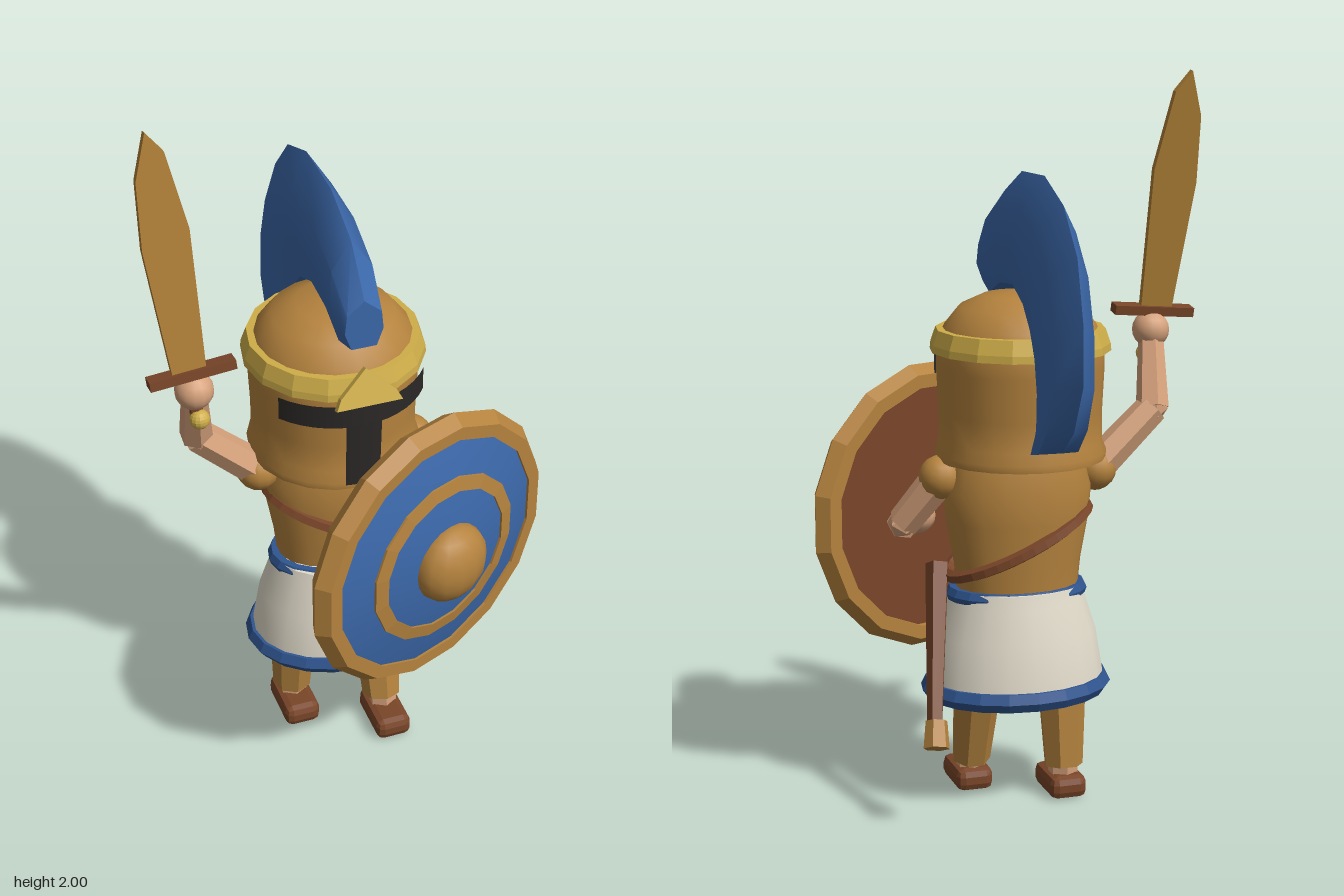
import * as THREE from 'three';
import { toCreasedNormals } from 'three/addons/utils/BufferGeometryUtils.js';
import { RoundedBoxGeometry } from 'three/addons/geometries/RoundedBoxGeometry.js';

const mat = (color, flatShading = false, side = THREE.FrontSide) =>
  new THREE.MeshStandardMaterial({ color, flatShading, side });
const bronze = mat(0xb5833e), bronzeFlat = mat(0xb5833e, true), gold = mat(0xcfae4a, true);
const blue = mat(0x3c69ab), blueFlat = mat(0x2f5590, true), cloth = mat(0xe2dccb);
const leather = mat(0x7a4629, true), skin = mat(0xd6a27c, true), skinSmooth = mat(0xd6a27c);
const dark = mat(0x2b2826, false, THREE.DoubleSide), steel = mat(0xb08038, true);
const V = (x, y, z) => new THREE.Vector3(x, y, z);

export function createModel() {
  const root = new THREE.Group();
  const add = (name, geo, material, pos = [0, 0, 0], parent = root) => {
    const m = new THREE.Mesh(geo, material);
    m.name = name;
    m.position.set(...pos);
    parent.add(m);
    return m;
  };
  const lathe = (pts, n, crease = 0.6) =>
    toCreasedNormals(new THREE.LatheGeometry(pts.map(p => new THREE.Vector2(...p)), n), crease);
  const ball = (name, r, material, pos, parent) =>
    add(name, new THREE.SphereGeometry(r, 14, 10), material, pos, parent);
  // Tapered prism running from a to b
  const limb = (name, a, b, ra, rb, material, sides = 6) => {
    const d = b.clone().sub(a);
    const m = add(name, new THREE.CylinderGeometry(rb, ra, d.length(), sides), material,
      a.clone().add(b).multiplyScalar(0.5).toArray());
    m.quaternion.setFromUnitVectors(V(0, 1, 0), d.normalize());
    return m;
  };

  // Legs: left one steps forward
  for (const [side, x, footZ, ankleZ, kneeZ] of [['left', 0.105, 0.145, 0.115, 0.06], ['right', -0.125, 0.003, -0.02, 0.0]]) {
    add(side + 'Shoe', new RoundedBoxGeometry(0.105, 0.065, 0.175, 1, 0.022), leather, [x, 0.0325, footZ]);
    limb(side + 'Ankle', V(x, 0.04, ankleZ + 0.005), V(x, 0.12, ankleZ), 0.042, 0.042, skin);
    limb(side + 'Greave', V(x, 0.085, ankleZ), V(x, 0.29, kneeZ), 0.055, 0.068, bronzeFlat, 7);
    limb(side + 'Thigh', V(x, 0.27, kneeZ), V(x, 0.42, 0.03), 0.055, 0.06, skin);
  }

  // Tunic skirt with blue hem and belt, oval in plan
  const oval = (name, geo, material, z, depth) => {
    add(name, geo, material, [0, 0, z]).scale.z = depth;
  };
  oval('skirt', lathe([[0, 0.315], [0.25, 0.315], [0.245, 0.36], [0.225, 0.48], [0.195, 0.57], [0.185, 0.61], [0, 0.615]], 20), cloth, 0.025, 0.8);
  oval('hem', lathe([[0.22, 0.305], [0.25, 0.3], [0.268, 0.325], [0.255, 0.352], [0.22, 0.352], [0.22, 0.305]], 20, 0.3), blueFlat, 0.025, 0.8);
  oval('belt', lathe([[0.17, 0.58], [0.195, 0.58], [0.2, 0.595], [0.19, 0.615], [0.17, 0.615], [0.17, 0.58]], 20, 0.3), blueFlat, 0.02, 0.7);

  // Cuirass and baldric
  oval('cuirass', lathe([[0, 0.6], [0.17, 0.6], [0.178, 0.68], [0.2, 0.8], [0.208, 0.89], [0.19, 0.96], [0.12, 1.0], [0, 1.0]], 18), bronze, 0.01, 0.7);
  const loop = [];
  for (let i = 0; i < 16; i++) {
    const a = i / 16 * Math.PI * 2;
    loop.push(V(0.195 * Math.cos(a), 0.74 - 0.09 * Math.cos(a), 0.01 + 0.143 * Math.sin(a)));
  }
  add('baldric', new THREE.TubeGeometry(new THREE.CatmullRomCurve3(loop, true), 32, 0.018, 5, true), leather);

  // Scabbard on the left hip
  limb('scabbard', V(0.22, 0.68, 0.035), V(0.288, 0.29, -0.17), 0.034, 0.022, leather, 5);
  limb('scabbardTip', V(0.283, 0.3, -0.165), V(0.293, 0.235, -0.2), 0.03, 0.036, bronzeFlat);

  // Arms
  const arm = (side, shoulder, elbow, hand) => {
    ball(side + 'ShoulderGuard', 0.06, bronze, shoulder.toArray());
    limb(side + 'UpperArm', shoulder, elbow, 0.05, 0.045, skin);
    add(side + 'Elbow', new THREE.IcosahedronGeometry(0.044, 0), skin, elbow.toArray());
    limb(side + 'Forearm', elbow, hand, 0.046, 0.034, skin);
    ball(side + 'Hand', 0.052, skinSmooth, hand.toArray());
  };
  arm('left', V(0.215, 0.925, 0.02), V(0.305, 0.79, 0.08), V(0.232, 0.78, 0.2));
  arm('right', V(-0.225, 0.92, 0.015), V(-0.395, 1.08, 0.02), V(-0.418, 1.285, 0.1));

  // Raised sword, leaning slightly back
  const sword = new THREE.Group();
  sword.name = 'sword';
  sword.position.set(-0.423, 1.34, 0.1);
  sword.rotation.x = -0.147;
  root.add(sword);
  add('guard', new THREE.BoxGeometry(0.232, 0.026, 0.042), leather, [0, 0, 0], sword).rotation.z = 0.08;
  add('grip', new THREE.CylinderGeometry(0.018, 0.018, 0.13, 6), leather, [0.004, -0.06, 0], sword);
  ball('pommel', 0.027, gold, [0.008, -0.13, 0.012], sword);
  const leaf = new THREE.Shape([[-0.052, 0], [0.038, 0], [0.025, 0.4], [-0.022, 0.612], [-0.067, 0.668], [-0.1, 0.545], [-0.1, 0.36]]
    .map(p => new THREE.Vector2(...p)));
  add('blade', new THREE.ExtrudeGeometry(leaf, { depth: 0.02, bevelEnabled: false }), steel, [0, 0, -0.01], sword);

  // Round shield, turned outwards on the left arm
  const shield = new THREE.Group();
  shield.name = 'shield';
  shield.position.set(0.152, 0.78, 0.321);
  shield.rotation.y = 0.385;
  root.add(shield);
  const disc = (name, pts, material, crease) => {
    const g = lathe(pts, 16, crease);
    g.rotateY(Math.PI / 16).rotateX(Math.PI / 2);
    return add(name, g, material, [0, 0, 0], shield);
  };
  disc('shieldRim', [[0.35, -0.036], [0.388, -0.036], [0.414, 0], [0.388, 0.038], [0.35, 0.038], [0.35, -0.036]], bronzeFlat, 0.1);
  disc('shieldBack', [[0, -0.015], [0.36, -0.015], [0.36, 0]], leather, 0.1);
  disc('shieldFace', [[0.36, 0.028], [0.25, 0.058], [0.12, 0.08], [0, 0.085]], blue);
  disc('shieldRing', [[0.252, 0.045], [0.252, 0.064], [0.212, 0.071], [0.212, 0.045]], bronzeFlat, 0.1);
  const boss = ball('shieldBoss', 0.115, bronze, [0, 0, 0.085], shield);
  boss.scale.z = 0.68;

  // Helmet
  const helmet = new THREE.Group();
  helmet.name = 'helmet';
  helmet.position.set(-0.01, 0, 0.015);
  root.add(helmet);
  add('helmetShell', lathe([[0, 0.97], [0.232, 0.97], [0.234, 0.99], [0.222, 1.02], [0.222, 1.1], [0.228, 1.22], [0.228, 1.28],
    [0.205, 1.335], [0.165, 1.385], [0.1, 1.415], [0, 1.425]], 20), bronze, [0, 0, 0], helmet);
  add('browBand', lathe([[0.21, 1.265], [0.246, 1.265], [0.244, 1.285], [0.23, 1.325], [0.2, 1.325]], 16, 0.2), gold, [0, 0, 0], helmet);
  // T-shaped face opening
  add('eyeSlot', new THREE.CylinderGeometry(0.247, 0.247, 0.067, 14, 1, true, -0.95, 1.9), dark, [0, 1.217, 0], helmet);
  add('mouthSlot', new THREE.CylinderGeometry(0.247, 0.24, 0.2, 4, 1, true, -0.2, 0.4), dark, [0, 1.09, 0], helmet);
  const tri = new THREE.Shape([[-0.09, 0], [0.09, 0], [0.075, 0.03], [0, 0.1], [-0.075, 0.03]].map(p => new THREE.Vector2(...p)));
  add('browPlate', new THREE.ExtrudeGeometry(tri, { depth: 0.02, bevelEnabled: false }), gold, [0, 1.265, 0.265], helmet).rotation.x = -0.35;

  // Crest: lofted sections, inner and outer edge as [z, y]
  const outer = [[0.25, 1.56], [0.15, 1.68], [0, 1.745], [-0.19, 1.75], [-0.34, 1.69], [-0.45, 1.57], [-0.5, 1.4], [-0.5, 1.25], [-0.43, 1.12], [-0.34, 1.05]];
  const inner = [[0.25, 1.42], [0.17, 1.4], [0.07, 1.44], [-0.04, 1.45], [-0.13, 1.41], [-0.19, 1.35], [-0.23, 1.28], [-0.25, 1.19], [-0.245, 1.1], [-0.22, 1.025]];
  const half = [[0, 0.04], [0.35, 0.061], [0.72, 0.055], [1, 0], [0.72, -0.055], [0.35, -0.061], [0, -0.04]];
  const pos = [], idx = [], n = half.length, last = (outer.length - 1) * n;
  outer.forEach((o, i) => half.forEach(([t, x]) => pos.push(x * (i === 0 ? 0.85 : 1),
    THREE.MathUtils.lerp(inner[i][1], o[1], t), THREE.MathUtils.lerp(inner[i][0], o[0], t))));
  for (let i = 0; i < outer.length - 1; i++) for (let j = 0; j < n; j++) {
    const a = i * n + j, b = i * n + (j + 1) % n;
    idx.push(a, a + n, b, b, a + n, b + n);
  }
  for (let j = 1; j < n - 1; j++) idx.push(0, j, j + 1, last, last + j + 1, last + j);
  const crest = new THREE.BufferGeometry();
  crest.setAttribute('position', new THREE.Float32BufferAttribute(pos, 3));
  crest.setIndex(idx);
  add('crest', toCreasedNormals(crest, 0.7), blue, [-0.01, 0, 0]);

  return root;
}
